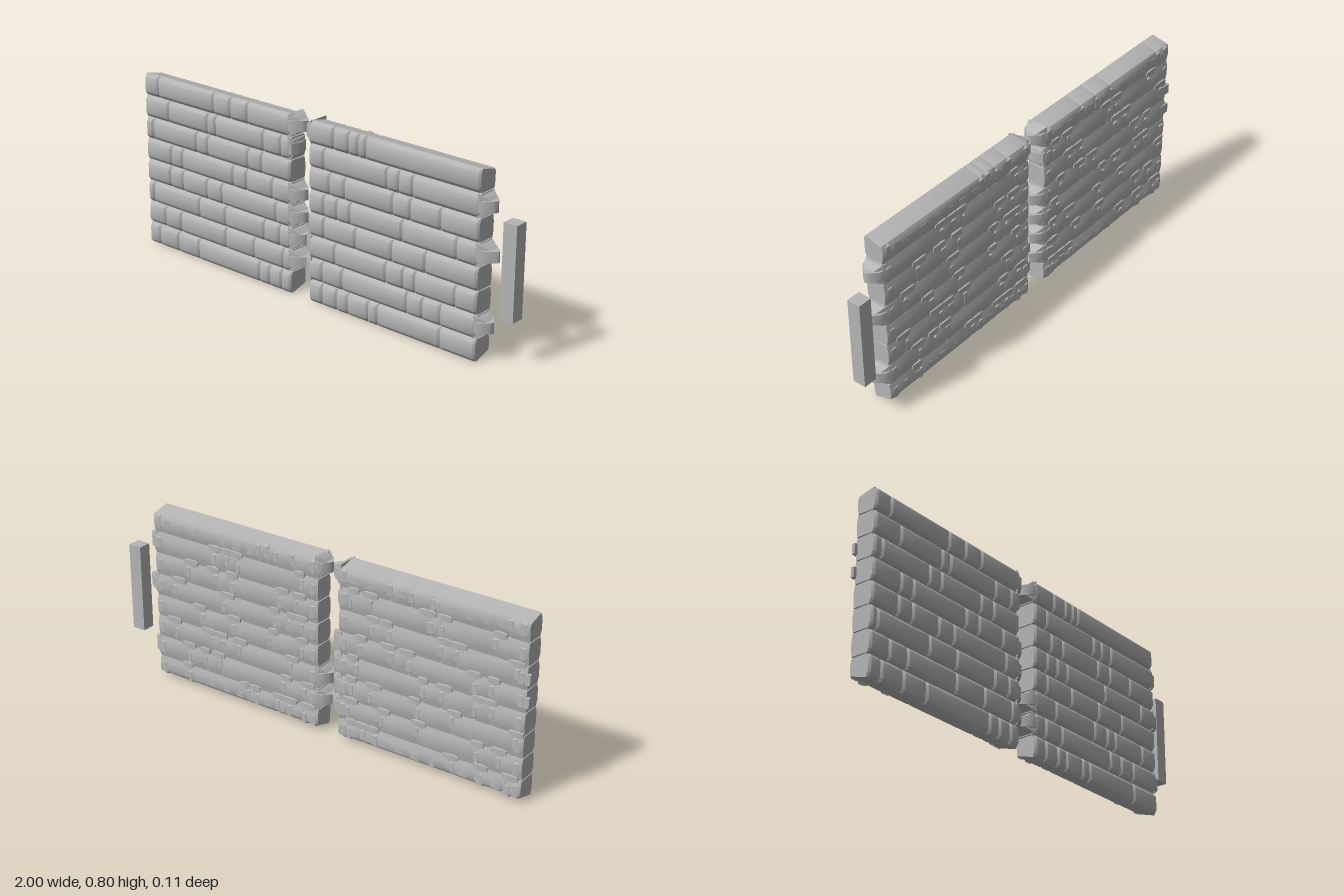
import * as THREE from 'three';
import { toCreasedNormals } from 'three/addons/utils/BufferGeometryUtils.js';

const stone = new THREE.MeshStandardMaterial({ color: 0xb4b4b4 });
stone.name = 'grey stone';

// seeded random
let seed = 7;
const rand = () => (seed = (seed * 16807) % 2147483647) / 2147483647;
const vary = (a) => (rand() * 2 - 1) * a;

// skin over rings of [x, y, z] running along +x, closed at both ends
function loft(rings, crease = 0.5) {
  const pos = [];
  const tri = (...p) => p.forEach((v) => pos.push(...v));
  const n = rings[0].length;
  for (let i = 0; i < rings.length - 1; i++) {
    for (let j = 0; j < n; j++) {
      const k = (j + 1) % n;
      const a = rings[i][j], b = rings[i][k], c = rings[i + 1][k], d = rings[i + 1][j];
      tri(a, b, d);
      tri(b, c, d);
    }
  }
  const first = rings[0], last = rings[rings.length - 1];
  for (let j = 1; j < n - 1; j++) {
    tri(first[0], first[j + 1], first[j]);
    tri(last[0], last[j], last[j + 1]);
  }
  const g = new THREE.BufferGeometry();
  g.setAttribute('position', new THREE.Float32BufferAttribute(pos, 3));
  return toCreasedNormals(g, crease);
}

function add(parent, geometry, name, x = 0, y = 0, z = 0) {
  const m = new THREE.Mesh(geometry, stone);
  m.name = name;
  m.position.set(x, y, z);
  parent.add(m);
  return m;
}

// one brick: rounded front and back, slightly pinched at its ends
function brick(x0, x1, row) {
  const y0 = row * 0.1, y1 = y0 + 0.1;
  const topBack = row === 7 ? 0.783 : y1;
  const bottomBack = row === 0 ? 0.022 : y0;
  const ring = (x, s) => [
    [x, topBack - s * 0.3, -0.04], [x, y1 - s * 0.2, 0.036],
    [x, y1 - 0.011 - s * 0.3, 0.048 - s], [x, y1 - 0.02 - s * 0.3, 0.053 - s],
    [x, y0 + 0.02 + s * 0.3, 0.053 - s], [x, y0 + 0.011 + s * 0.3, 0.048 - s],
    [x, y0 + s * 0.2, 0.036], [x, bottomBack + s * 0.3, -0.04],
    [x, y0 + 0.032, -0.049 + s * 0.5], [x, y1 - 0.032, -0.049 + s * 0.5],
  ];
  const b = Math.min(0.009, (x1 - x0) / 4);
  return loft([ring(x0, 0.009), ring(x0 + b, 0), ring(x1 - b, 0), ring(x1, 0.009)], 0.75);
}

// interlocking tooth: flared root and a wedge that comes to an edge at its tip
function tooth(parent, x, y, length, side) {
  const g = new THREE.Group();
  g.name = 'tooth';
  const ring = (px, h, d) => [[px, h, -d], [px, h, d], [px, -h, d], [px, -h, -d]];
  add(g, loft([
    ring(-0.012, 0.049, 0.047), ring(length * 0.25, 0.038, 0.036),
    ring(length * 0.5, 0.027, 0.025), ring(length * 0.62, 0.022, 0.016),
  ], 0.7), 'toothRoot');
  add(g, loft([
    ring(-0.012, 0.024, 0.05), ring(length * 0.35, 0.024, 0.043),
    ring(length * 0.8, 0.024, 0.018), ring(length, 0.023, 0.004),
  ], 0.7), 'toothWedge');
  g.position.set(x, y, 0.002);
  if (side < 0) g.rotation.y = Math.PI;
  parent.add(g);
}

// shallow faceted ridge left on the rough back
function knot(parent, x, y, w, h) {
  const ring = (px, s) => [
    [px, h * s, -0.036], [px, -h * s, -0.036],
    [px, -h * s * 0.7, -0.036 - 0.015 * s], [px, h * s * 0.7, -0.036 - 0.015 * s],
  ];
  add(parent, loft([ring(-w, 0.65), ring(-w * 0.5, 1), ring(w * 0.5, 0.9 + vary(0.1)), ring(w, 0.6)]),
    'backKnot', x, y, 0);
}

// joints are listed per course from bottom to top; teeth as [y, length]
function panel(name, x0, x1, joints, rightTeeth, leftTeeth) {
  const g = new THREE.Group();
  g.name = name;
  const core = new THREE.BoxGeometry(x1 - x0 - 0.03, 0.75, 0.068);
  add(g, core, 'core', (x0 + x1) / 2, 0.401, 0);
  joints.forEach((list, row) => {
    const course = new THREE.Group();
    course.name = 'course';
    const xs = [x0, ...list, x1];
    for (let i = 0; i < xs.length - 1; i++) add(course, brick(xs[i], xs[i + 1], row), 'brick');
    // straps across the back of each joint and knots on the seam above
    list.forEach((x) => {
      knot(course, x, row * 0.1 + 0.05 + vary(0.01), 0.014 + rand() * 0.01, 0.032);
      if (row < 7) knot(course, x + vary(0.02), row * 0.1 + 0.1, 0.025 + rand() * 0.015, 0.02);
    });
    g.add(course);
  });
  // ragged rim along the back edges
  for (let x = x0 + 0.04; x < x1 - 0.03; x += 0.075) {
    knot(g, x, 0.745 + vary(0.008), 0.03, 0.02);
    knot(g, x, 0.05 + vary(0.008), 0.03, 0.02);
  }
  for (let row = 0; row < 8; row++) {
    knot(g, x0 + 0.025, row * 0.1 + 0.05, 0.022, 0.036);
    knot(g, x1 - 0.025, row * 0.1 + 0.05, 0.022, 0.036);
  }
  rightTeeth.forEach(([y, l]) => tooth(g, x1, y, l, 1));
  leftTeeth.forEach(([y, l]) => tooth(g, x0, y, l, -1));
  return g;
}

export function createModel() {
  const model = new THREE.Group();
  model.name = 'brickWall';

  const rightWall = panel('rightPanel', -0.985, -0.115, [
    [-0.92, -0.8, -0.67, -0.3, -0.24, -0.17],
    [-0.88, -0.78, -0.5, -0.33, -0.16],
    [-0.95, -0.66, -0.5, -0.27, -0.18],
    [-0.84, -0.76, -0.61, -0.52, -0.2],
    [-0.83, -0.76, -0.45, -0.37, -0.22],
    [-0.94, -0.67, -0.6, -0.36, -0.28],
    [-0.84, -0.6, -0.55, -0.27, -0.17],
    [-0.9, -0.56, -0.46, -0.36],
  ], [[0.15, 0.06], [0.25, 0.055], [0.35, 0.055], [0.45, 0.055], [0.65, 0.02], [0.75, 0.055]], []);
  // small nubs on the outer end
  for (const y of [0.45, 0.55]) {
    add(rightWall, new THREE.BoxGeometry(0.03, 0.045, 0.014), 'endNub', -0.985, y, -0.043);
  }
  model.add(rightWall);

  model.add(panel('leftPanel', -0.01, 0.855, [
    [0.06, 0.14, 0.2, 0.31, 0.36, 0.68],
    [0.06, 0.17, 0.51, 0.59, 0.68],
    [0.13, 0.4, 0.49, 0.55, 0.75],
    [0.07, 0.24, 0.43, 0.6],
    [0.07, 0.14, 0.21, 0.48, 0.75],
    [0.1, 0.18, 0.43, 0.52, 0.67],
    [0.07, 0.4, 0.46, 0.53],
    [0.12, 0.2, 0.25, 0.29],
  ], [[0.15, 0.052], [0.45, 0.066], [0.65, 0.052]], [[0.15, 0.048], [0.25, 0.046], [0.75, 0.042]]));

  // separate upright post
  add(model, new THREE.BoxGeometry(0.062, 0.4, 0.06), 'post', 0.969, 0.4, -0.022);
  return model;
}
